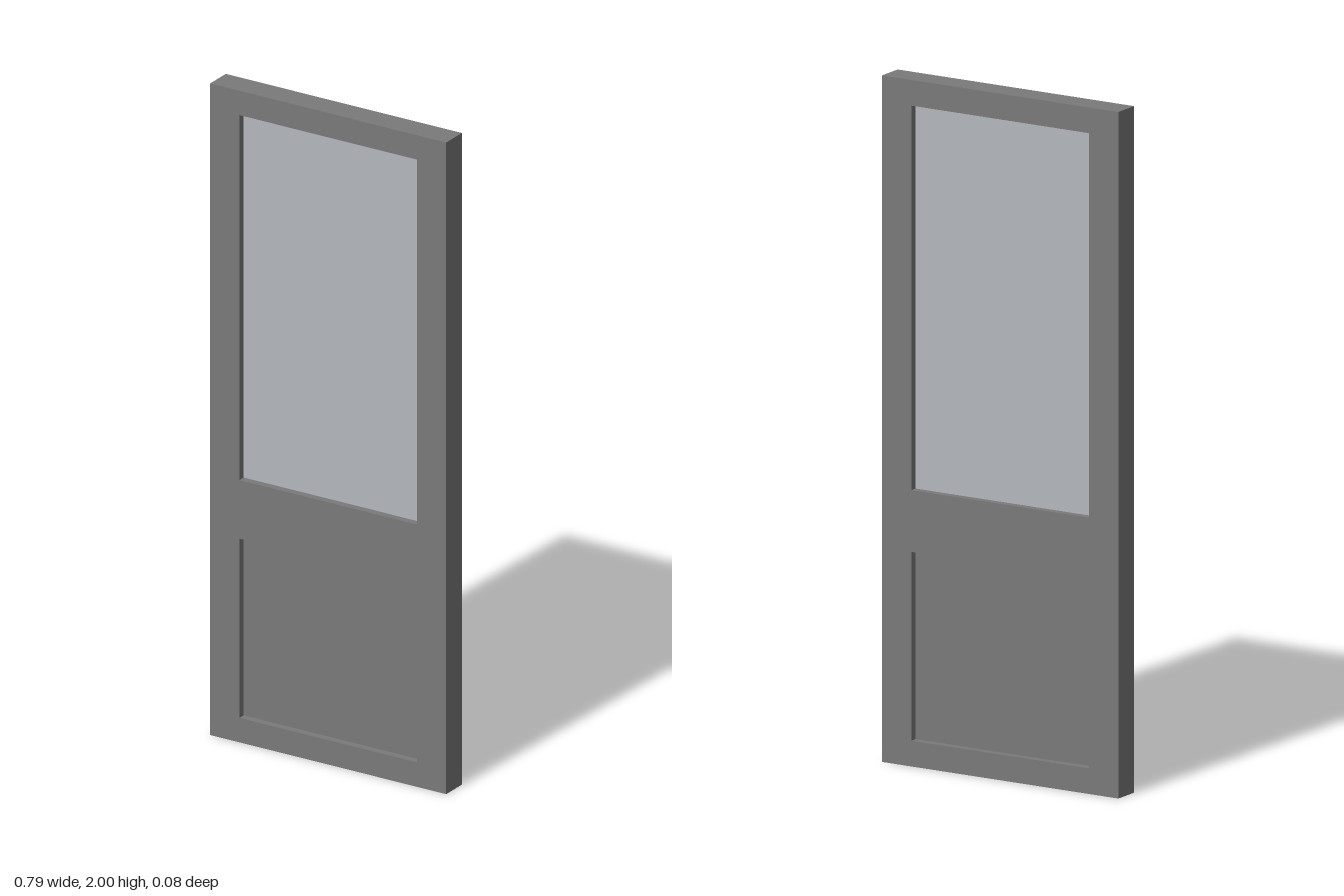
import * as THREE from 'three';

const W = 0.793, H = 2, D = 0.082;      // outer door size
const OPEN_HALF = 0.298;                // half width of both openings
const INSET = 0.022;                    // recess depth on each face
const GLASS = [0.805, 1.925];           // bottom and top of each opening
const PANEL = [0.075, 0.625];

function rect(path, x, y0, y1) {
  path.moveTo(-x, y0);
  path.lineTo(x, y0);
  path.lineTo(x, y1);
  path.lineTo(-x, y1);
  path.closePath();
  return path;
}

export function createModel() {
  const group = new THREE.Group();
  group.name = 'door';
  const paint = new THREE.MeshStandardMaterial({ color: 0x7a7a7a });
  const glass = new THREE.MeshStandardMaterial({ color: 0xb4b8be });

  // Stiles and rails as one slab with two openings
  const shape = rect(new THREE.Shape(), W / 2, 0, H);
  for (const [y0, y1] of [GLASS, PANEL]) {
    shape.holes.push(rect(new THREE.Path(), OPEN_HALF, y0, y1));
  }
  const frameGeo = new THREE.ExtrudeGeometry(shape, { depth: D, bevelEnabled: false });
  frameGeo.translate(0, 0, -D / 2);
  const frame = new THREE.Mesh(frameGeo, paint);
  frame.name = 'doorFrame';
  group.add(frame);

  // Recessed infills, set back equally on both faces
  const addInfill = (name, [y0, y1], material) => {
    const mesh = new THREE.Mesh(
      new THREE.BoxGeometry(OPEN_HALF * 2, y1 - y0, D - 2 * INSET), material);
    mesh.position.y = (y0 + y1) / 2;
    mesh.name = name;
    group.add(mesh);
  };
  addInfill('glassPane', GLASS, glass);
  addInfill('lowerPanel', PANEL, paint);

  return group;
}
